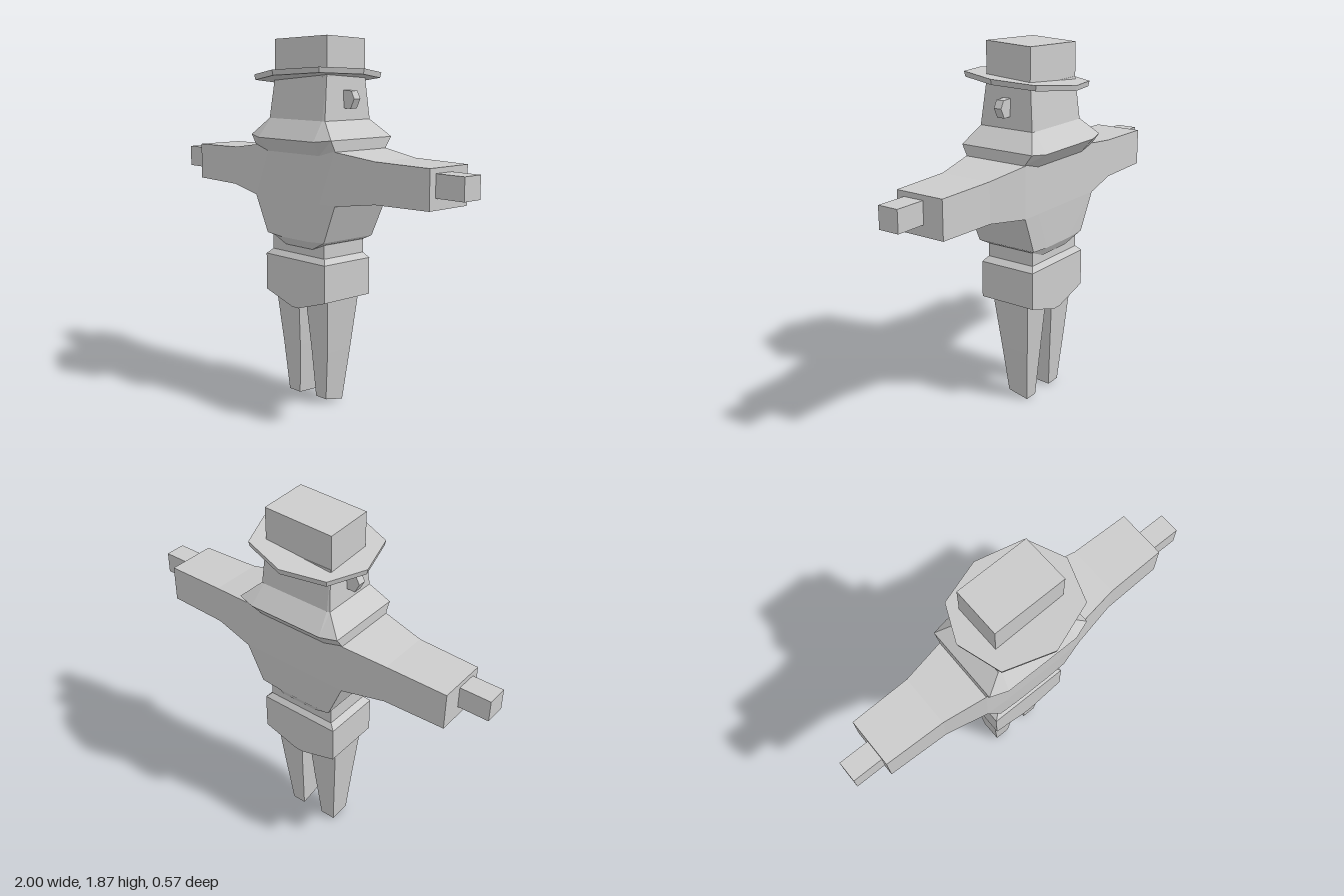
import * as THREE from 'three';

const material = new THREE.MeshStandardMaterial({ color: 0xcccccc, flatShading: true });

// Skins a list of equal-length rings (counter-clockwise seen from the far end), with end caps.
function loft(name, rings) {
  const n = rings[0].length;
  const index = [];
  for (let r = 0; r < rings.length - 1; r++) {
    for (let i = 0; i < n; i++) {
      const a = r * n + i, b = r * n + (i + 1) % n;
      index.push(a, b, b + n, a, b + n, a + n);
    }
  }
  const last = (rings.length - 1) * n;
  for (let i = 1; i < n - 1; i++) {
    index.push(0, i + 1, i, last, last + i, last + i + 1);
  }
  let geometry = new THREE.BufferGeometry();
  geometry.setAttribute('position', new THREE.Float32BufferAttribute(rings.flat(2), 3));
  geometry.setIndex(index);
  geometry = geometry.toNonIndexed();
  geometry.computeVertexNormals();
  const mesh = new THREE.Mesh(geometry, material);
  mesh.name = name;
  return mesh;
}

// Horizontal rectangle; yAt may be a height or a rule (x, z) => height.
function rect(x0, x1, back, front, yAt) {
  const y = typeof yAt === 'function' ? yAt : () => yAt;
  return [[x1, front], [x1, back], [x0, back], [x0, front]].map(([x, z]) => [x, y(x, z), z]);
}

// Horizontal octagon: four outer corners (half width a) and four inner ones (half width b).
function octagon(a, b, frontA, frontB, backA, backB, yA, yB = yA) {
  return [
    [b, yB, frontB], [a, yA, frontA], [a, yA, backA], [b, yB, backB],
    [-b, yB, backB], [-a, yA, backA], [-a, yA, frontA], [-b, yB, frontB],
  ];
}

function box(name, x, y, z, w, h, d) {
  const mesh = new THREE.Mesh(new THREE.BoxGeometry(w, h, d), material);
  mesh.name = name;
  mesh.position.set(x, y, z);
  return mesh;
}

export function createModel() {
  const model = new THREE.Group();
  model.name = 'hattedFigure';

  // Chest, flared collar and head share one skin
  model.add(loft('torsoCollarAndHead', [
    octagon(0.19, 0.10, 0.11, 0.115, -0.16, -0.165, 0.855, 0.82),
    octagon(0.212, 0.10, 0.143, 0.145, -0.19, -0.19, 0.87, 0.862),
    octagon(0.295, 0.19, 0.15, 0.153, -0.20, -0.20, 1.06),
    octagon(0.295, 0.19, 0.15, 0.155, -0.20, -0.20, 1.325, 1.295),
    octagon(0.295, 0.205, 0.175, 0.205, -0.237, -0.257, 1.375, 1.365),
    octagon(0.205, 0.19, 0.13, 0.135, -0.175, -0.18, 1.46),
    octagon(0.19, 0.18, 0.105, 0.105, -0.155, -0.155, 1.67),
  ]));

  // Arms (x, bottom, top, back, front) and hands
  const armSections = [
    [0.295, 1.06, 1.32, -0.20, 0.15],
    [0.52, 1.09, 1.29, -0.165, 0.11],
    [0.84, 1.095, 1.285, -0.16, 0.10],
  ];
  for (const side of [1, -1]) {
    const label = side > 0 ? 'left' : 'right';
    const rings = armSections.map(([x, y0, y1, z0, z1]) =>
      [[z0, y0], [z0, y1], [z1, y1], [z1, y0]].map(([z, y]) => [side * x, y, z]));
    if (side < 0) rings.reverse();
    model.add(loft(label + 'Arm', rings));
    model.add(box(label + 'Hand', side * 0.915, 1.205, 0.005, 0.17, 0.11, 0.11));

    // Ears
    const outline = [[0.17, 1.52], [0.245, 1.517], [0.27, 1.565], [0.25, 1.603], [0.17, 1.606]];
    const shape = new THREE.Shape(outline.map(([x, y]) => new THREE.Vector2(side * x, y)));
    const ear = new THREE.Mesh(
      new THREE.ExtrudeGeometry(shape, { depth: 0.042, bevelEnabled: false }), material);
    ear.name = label + 'Ear';
    ear.position.z = -0.043;
    model.add(ear);
  }

  // Waist and hips, with a shallow V underneath
  model.add(loft('waist', [
    rect(-0.206, 0.18, -0.16, 0.11, 0.77),
    rect(-0.206, 0.18, -0.16, 0.11, 0.90),
  ]));
  const hipRing = (x0, x1, z0, z1, ySide, yMid) => [
    [x1, ySide, z1], [x1, ySide, z0], [0.012, yMid, z0],
    [-0.035, yMid, z0], [x0, ySide, z0], [x0, ySide, z1],
    [-0.035, yMid, z1], [0.012, yMid, z1],
  ];
  model.add(loft('hips', [
    hipRing(-0.235, 0.207, -0.18, 0.133, 0.565, 0.505),
    hipRing(-0.235, 0.207, -0.18, 0.133, 0.755, 0.755),
    hipRing(-0.206, 0.18, -0.16, 0.11, 0.782, 0.782),
  ]));

  // Tapered legs, the left one with a slanted foot end
  model.add(loft('leftLeg', [
    rect(0.04, 0.115, -0.08, 0.035, (x, z) => (z > 0 ? 0.024 : 0)),
    rect(0.027, 0.147, -0.105, 0.055, 0.28),
    rect(0.012, 0.178, -0.13, 0.085, 0.57),
  ]));
  model.add(loft('rightLeg', [
    rect(-0.167, -0.085, -0.08, 0.035, (x, z) => (z > 0 ? 0.012 : 0.006)),
    rect(-0.19, -0.06, -0.105, 0.055, 0.28),
    rect(-0.213, -0.038, -0.13, 0.085, 0.57),
  ]));

  // Tilted eight-sided hat brim and crown
  const brim = [
    [0, 0.285], [0.24, 0.2], [0.318, -0.02], [0.24, -0.22],
    [0, -0.288], [-0.22, -0.22], [-0.305, -0.03], [-0.24, 0.2],
  ];
  const brimRing = (y, scale) =>
    brim.map(([x, z]) => [x * scale, y + 0.085 * x + 0.07 * z, z * scale]);
  model.add(loft('hatBrim', [brimRing(1.657, 0.98), brimRing(1.684, 1)]));
  model.add(loft('hatCrown', [
    rect(-0.193, 0.19, -0.153, 0.103, 1.64),
    rect(-0.193, 0.19, -0.153, 0.103, (x, z) => 1.855 + 0.035 * x + 0.05 * z),
  ]));

  return model;
}
